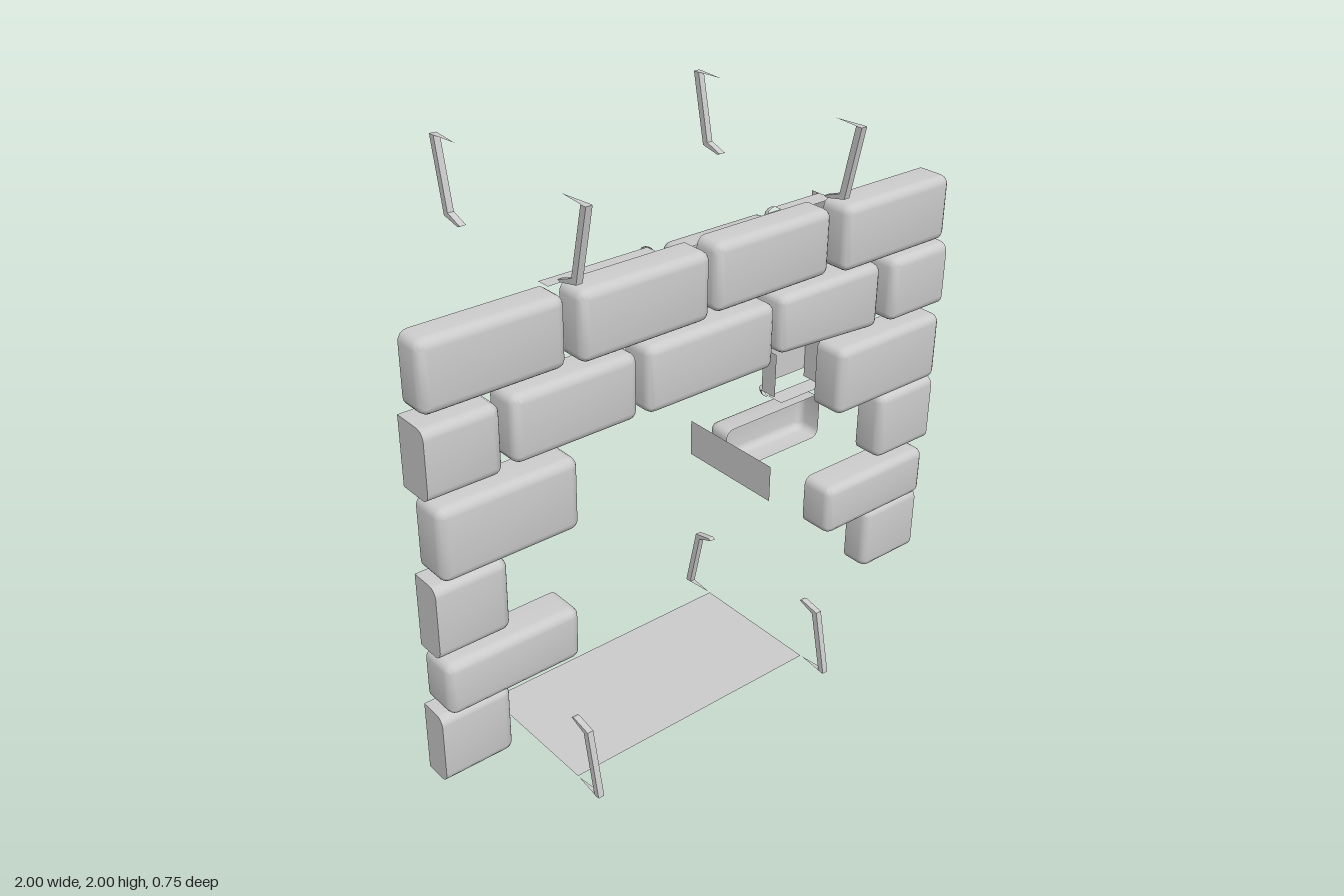
import * as THREE from 'three';
import { toCreasedNormals } from 'three/addons/utils/BufferGeometryUtils.js';

const material = new THREE.MeshStandardMaterial({ color: 0xcccccc, side: THREE.DoubleSide });

// Rounded rectangle loop; a "square" side (-1 left, 1 right) is neither inset nor rounded.
function outline(x0, x1, y0, y1, r, inset, square, z) {
  const pts = [], rr = r - inset;
  const corners = [[1, 1], [-1, 1], [-1, -1], [1, -1]];
  corners.forEach(([sx, sy], i) => {
    const flat = sx === square, rad = flat ? 0 : rr, pad = flat ? 0 : r;
    const cx = sx > 0 ? x1 - pad : x0 + pad;
    const cy = sy > 0 ? y1 - (flat ? inset : r) : y0 + (flat ? inset : r);
    for (let k = 0; k <= 4; k++) {
      const a = (i + k / 4) * Math.PI / 2;
      pts.push(new THREE.Vector3(cx + rad * Math.cos(a), cy + rad * Math.sin(a), z));
    }
  });
  return pts;
}

// Open-backed brick shell with a rounded face towards +z.
function brickGeometry(x0, x1, y0, y1, z0, z1, square = 0, tilt = 0) {
  const r = 0.03, rings = [outline(x0, x1, y0, y1, r, 0, square, z0)];
  for (let k = 0; k <= 4; k++) {
    const a = k / 4 * Math.PI / 2;
    rings.push(outline(x0, x1, y0, y1, r, r * (1 - Math.cos(a)), square, z1 - r + r * Math.sin(a)));
  }
  const n = rings[0].length, pos = [], index = [];
  rings.flat().forEach((p) => {
    // Tilt raises the lower edge towards the x0 end
    const low = (y1 - p.y) / (y1 - y0), along = (x1 - p.x) / (x1 - x0);
    pos.push(p.x, p.y + tilt * low * along, p.z);
  });
  for (let j = 0; j < rings.length - 1; j++) {
    for (let i = 0; i < n; i++) {
      const a = j * n + i, b = j * n + (i + 1) % n;
      index.push(a, b, b + n, a, b + n, a + n);
    }
  }
  const last = (rings.length - 1) * n;
  pos.push((x0 + x1) / 2, (y0 + y1) / 2, z1);
  for (let i = 0; i < n; i++) index.push(last + i, last + (i + 1) % n, rings.length * n);
  const g = new THREE.BufferGeometry();
  g.setAttribute('position', new THREE.Float32BufferAttribute(pos, 3));
  g.setIndex(index);
  return toCreasedNormals(g, 0.6);
}

function add(parent, geometry, name) {
  const mesh = new THREE.Mesh(geometry, material);
  mesh.name = name;
  parent.add(mesh);
  return mesh;
}

// Flat sheet spanning a box that has no thickness along one axis
function sheet(parent, name, x0, x1, y0, y1, z0, z1) {
  const w = x1 - x0, h = y1 - y0, d = z1 - z0;
  let g;
  if (h === 0) g = new THREE.PlaneGeometry(w, d).rotateX(-Math.PI / 2);
  else if (w === 0) g = new THREE.PlaneGeometry(d, h).rotateY(Math.PI / 2);
  else g = new THREE.PlaneGeometry(w, h).rotateY(Math.PI);
  g.translate((x0 + x1) / 2, (y0 + y1) / 2, (z0 + z1) / 2);
  return add(parent, g, name);
}

// Rounded corner piece facing -z
function cornerPiece(parent, x, y, z, sx, sy) {
  const g = new THREE.SphereGeometry(0.035, 5, 4, 0, Math.PI / 2, 0, Math.PI / 2);
  const mesh = add(parent, g, 'brickCorner');
  mesh.position.set(x, y, z);
  mesh.scale.set(-sx, sy, -1);
}

// Broken end brick: flat faces and corners, without the rounded edges between
function brokenBrick(parent, y0, y1, z0, z1) {
  const g = new THREE.Group(), r = 0.035, x0 = 0.75;
  g.name = 'brokenBrick';
  for (const [y, s] of [[y0, -1], [y1, 1]]) {
    sheet(g, 'brickEdge', x0 + r, 1, y, y, z1 + r, z0);
    cornerPiece(g, x0 + r, y - s * r, z1 + r, -1, s);
  }
  sheet(g, 'brickFace', x0 + r, 1, y0 + r, y1 - r, z1, z1);
  sheet(g, 'brickSide', x0, x0, y0 + r, y1 - r, z1 + r, z0);
  sheet(g, 'brickEnd', 1, 1, y0, y1, z1, z0);
  parent.add(g);
}

// Bent corner bracket with a pointed foot, at x = 0, standing on y = 0, towards +z
function bracket() {
  const g = new THREE.Group();
  g.name = 'cornerBracket';
  const shape = new THREE.Shape([[0.375, 0], [0.352, 0], [0.303, 0.222], [0.24, 0.245], [0.252, 0.25], [0.324, 0.235]]
    .map(([z, y]) => new THREE.Vector2(-z, y)));
  const arm = new THREE.ExtrudeGeometry(shape, { depth: 0.022, bevelEnabled: false });
  arm.translate(0, 0, -0.011).rotateY(Math.PI / 2);
  add(g, arm, 'bracketArm');
  const foot = new THREE.ShapeGeometry(new THREE.Shape([
    new THREE.Vector2(-0.012, -0.37), new THREE.Vector2(0.012, -0.37), new THREE.Vector2(0, -0.255)]));
  add(g, foot.rotateX(-Math.PI / 2), 'bracketFoot');
  return g;
}

export function createModel() {
  const model = new THREE.Group();

  // Front wall: x0, x1, y0, y1, z0, z1, square side, tilt
  const front = new THREE.Group();
  front.name = 'frontWall';
  const bricks = [
    [-0.985, -0.52, 1.51, 1.73, 0.2, 0.295],
    [-0.485, -0.02, 1.51, 1.73, 0.21, 0.312],
    [0.015, 0.48, 1.51, 1.73, 0.2, 0.295],
    [0.52, 0.982, 1.51, 1.73, 0.21, 0.32],
    [-0.718, -0.285, 1.275, 1.49, 0.2, 0.31],
    [-0.25, 0.245, 1.27, 1.49, 0.2, 0.31],
    [0.28, 0.715, 1.265, 1.49, 0.185, 0.3, 0, 0.03],
  ];
  for (const s of [-1, 1]) {
    const span = (a, b) => (s > 0 ? [a, b] : [-b, -a]);
    bricks.push([...span(0.755, 1), 1.27, 1.49, 0.19, 0.315, s]);
    bricks.push([...span(0.52, 0.985), 1.01, 1.248, 0.22, 0.335]);
    bricks.push([...span(0.755, 1), 0.75, 0.993, 0.205, 0.31, s]);
    bricks.push([...span(0.52, 0.985), 0.54, 0.722, 0.2, 0.32]);
    bricks.push([...span(0.755, 1), 0.285, 0.525, 0.19, 0.287, s]);
  }
  bricks.forEach((b) => add(front, brickGeometry(...b), 'frontBrick'));
  model.add(front);

  // Back wall: a short run of bricks facing -z
  const back = new THREE.Group();
  back.name = 'backWall';
  [
    [0.28, 0.715, 1.27, 1.49, 0.19, 0.29],
    [0.52, 0.985, 1.01, 1.248, 0.22, 0.315],
    [0.52, 0.985, 0.54, 0.722, 0.2, 0.3],
  ].forEach(([x0, x1, ...rest]) => {
    add(back, brickGeometry(-x1, -x0, ...rest), 'backBrick').rotation.y = Math.PI;
  });
  brokenBrick(back, 1.27, 1.49, -0.21, -0.315);
  brokenBrick(back, 0.75, 0.993, -0.2, -0.305);

  // Remnant of a missing brick: top strip and two corners
  sheet(back, 'brickStrip', -0.22, 0.215, 1.49, 1.49, -0.277, -0.225);
  cornerPiece(back, 0.212, 1.455, -0.28, 1, 1);
  cornerPiece(back, 0.212, 1.305, -0.28, 1, -1);
  model.add(back);

  // Cross panel and floor
  sheet(model, 'crossPanel', 0.35, 0.35, 0.695, 0.828, -0.2, 0.205);
  sheet(model, 'floor', -0.5, 0.5, 0, 0, -0.25, 0.25);

  // Eight brackets at the corners of the volume
  for (const x of [-0.5, 0.5]) for (const sz of [-1, 1]) for (const sy of [-1, 1]) {
    const b = bracket();
    b.position.set(x, sy > 0 ? 0 : 2, 0);
    b.scale.set(1, sy, sz);
    model.add(b);
  }
  return model;
}
